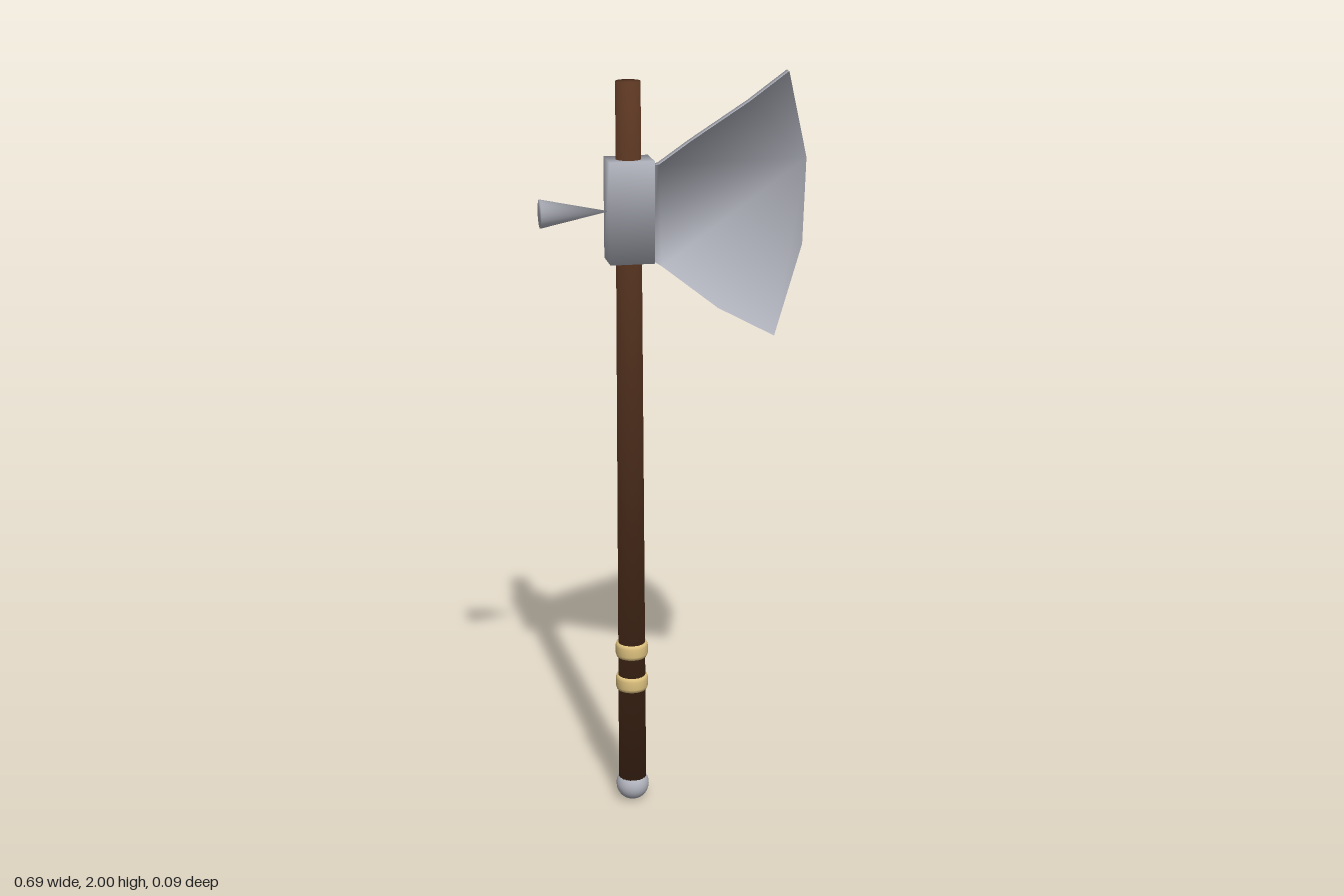
import * as THREE from 'three';

const steel = new THREE.MeshStandardMaterial({ color: 0xb3b5bf });
steel.name = 'steel';
const wood = new THREE.MeshStandardMaterial({ color: 0x573420 });
wood.name = 'wood';
const brass = new THREE.MeshStandardMaterial({ color: 0xdcc07e });
brass.name = 'brass';

const SHAFT_X = -0.117;

// Replace normals by a rule, so that shading runs softly over the edges
function softNormals(geometry, rule) {
  const p = geometry.attributes.position, n = geometry.attributes.normal;
  const v = new THREE.Vector3();
  for (let i = 0; i < p.count; i++) {
    rule(v.fromBufferAttribute(p, i), i).normalize();
    n.setXYZ(i, v.x, v.y, v.z);
  }
  return geometry;
}

// Rule for round parts: side normals blend into the end caps
function roundEnds(v) {
  const r = Math.hypot(v.x, v.z);
  if (r < 1e-4) return v.set(0, Math.sign(v.y), 0);
  return v.set(v.x / r, Math.sign(v.y) * 0.9, v.z / r);
}

export function createModel() {
  const model = new THREE.Group();
  model.name = 'battleAxe';

  const add = (name, geometry, material, x = 0, y = 0, z = 0) => {
    const mesh = new THREE.Mesh(geometry, material);
    mesh.name = name;
    mesh.position.set(x, y, z);
    model.add(mesh);
    return mesh;
  };

  // Tapered handle
  const shaft = softNormals(new THREE.CylinderGeometry(0.032, 0.038, 1.92, 20), roundEnds);
  add('shaft', shaft, wood, SHAFT_X, 1.025, 0);

  // Ball at the foot of the handle
  add('pommel', new THREE.SphereGeometry(0.045, 24, 16), steel, SHAFT_X, 0.045, 0);

  // Two rounded rings around the grip
  const ringProfile = [[0.033, -0.021], [0.041, -0.02], [0.044, -0.011],
    [0.044, 0.011], [0.041, 0.02], [0.033, 0.021]].map(([x, y]) => new THREE.Vector2(x, y));
  for (const [name, y] of [['lowerGripRing', 0.355], ['upperGripRing', 0.451]]) {
    add(name, new THREE.LatheGeometry(ringProfile, 24), brass, SHAFT_X, y, 0);
  }

  // Socket holding the head, with softened corners
  const socket = softNormals(new THREE.BoxGeometry(0.115, 0.262, 0.095),
    (v) => v.set(Math.sign(v.x), Math.sign(v.y), Math.sign(v.z)));
  add('socket', socket, steel, -0.1155, 1.659, 0);

  // Cone on the back of the head, point towards the socket
  const cone = softNormals(new THREE.ConeGeometry(0.037, 0.178, 20), roundEnds);
  add('backSpike', cone, steel, -0.256, 1.658, 0).rotation.z = -Math.PI / 2;

  // Flared blade, outline clockwise from the upper socket corner
  const outline = [[-0.062, 1.772], [-0.04, 1.775], [0.04, 1.83], [0.193, 1.927], [0.294, 2.0],
    [0.343, 1.78], [0.336, 1.555], [0.265, 1.313], [0.114, 1.395], [-0.034, 1.512], [-0.062, 1.53]]
    .map(([x, y]) => new THREE.Vector2(x, y));
  const count = outline.length;
  // Outward direction at each outline point
  const outward = outline.map((_, i) => {
    const t = outline[(i + 1) % count].clone().sub(outline[(i + count - 1) % count]).normalize();
    return new THREE.Vector2(-t.y, t.x);
  });
  // The back face ends a little short of the front at the cutting edge
  const backX = (x) => (x > 0.3 ? x - 0.008 : x);
  const FRONT = 0.012, BACK = -0.015;

  // Hollow-ground cheeks: normals lean inwards along the outline
  const cheek = (side) => {
    const g = softNormals(new THREE.ShapeGeometry(new THREE.Shape(outline)),
      (v, i) => v.set(-outward[i].x, -outward[i].y, side));
    if (side < 0) {
      const p = g.attributes.position, index = g.index;
      for (let i = 0; i < p.count; i++) p.setX(i, backX(p.getX(i)));
      for (let i = 0; i < index.count; i += 3) {
        const a = index.getX(i);
        index.setX(i, index.getX(i + 1));
        index.setX(i + 1, a);
      }
    }
    return g;
  };
  add('bladeFront', cheek(1), steel, 0, 0, FRONT);
  add('bladeBack', cheek(-1), steel, 0, 0, BACK);

  // Softly rounded rim joining both cheeks
  const points = [], normals = [], faces = [];
  outline.forEach((a, i) => {
    const o = outward[i], f = 2 * i, n = 2 * ((i + 1) % count);
    points.push(a.x, a.y, FRONT, backX(a.x), a.y, BACK);
    for (const side of [1, -1]) normals.push(...new THREE.Vector3(o.x, o.y, side * 0.7).normalize());
    faces.push(f, n + 1, f + 1, f, n, n + 1);
  });
  const rim = new THREE.BufferGeometry();
  rim.setAttribute('position', new THREE.Float32BufferAttribute(points, 3));
  rim.setAttribute('normal', new THREE.Float32BufferAttribute(normals, 3));
  rim.setIndex(faces);
  add('bladeRim', rim, steel);

  return model;
}
